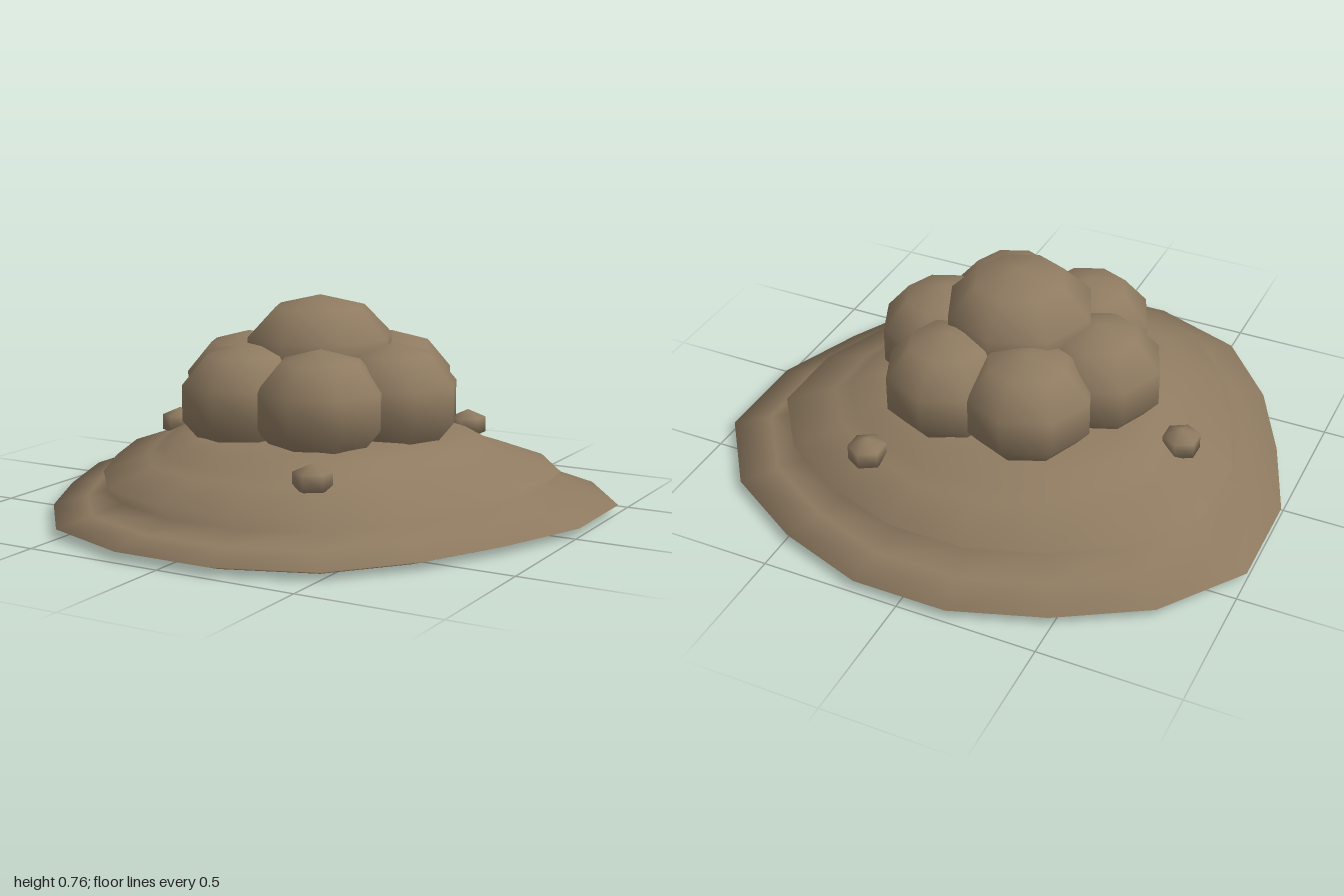
import * as THREE from 'three';

// Rounded-triangle plan outline, right half from back to front, then mirrored
const half = [[0.17, -0.98], [0.49, -0.87], [0.79, -0.69], [1.0, -0.4], [1.0, -0.03],
  [0.88, 0.29], [0.73, 0.59], [0.51, 0.855], [0.177, 0.98]];
const outline = [...half, ...half.slice().reverse().map(([x, z]) => [-x, z])];

// Smooth skin over scaled copies of the outline; each row is [scale, height]
function loft(rows) {
  const n = outline.length, pos = [], idx = [];
  for (const [s, y] of rows) for (const [x, z] of outline) pos.push(x * s, y, z * s);
  for (let i = 0; i < rows.length - 1; i++) {
    for (let j = 0; j < n; j++) {
      const a = i * n + j, b = i * n + (j + 1) % n, c = a + n, d = b + n;
      idx.push(a, c, b, b, c, d);
    }
  }
  const g = new THREE.BufferGeometry();
  g.setAttribute('position', new THREE.Float32BufferAttribute(pos, 3));
  g.setIndex(idx);
  g.computeVertexNormals();
  return g;
}

export function createModel() {
  const group = new THREE.Group();
  const earth = new THREE.MeshStandardMaterial({ color: 0x8f7b61 });
  earth.name = 'earthBrown';

  const add = (name, geometry, x = 0, y = 0, z = 0) => {
    const mesh = new THREE.Mesh(geometry, earth);
    mesh.name = name;
    mesh.position.set(x, y, z);
    group.add(mesh);
    return mesh;
  };

  // Flat underside and two-tier mound with a grooved step
  add('underside', loft([[0, 0], [0.91, 0]]));
  add('mound', loft([[0.91, 0], [1, 0.03], [0.87, 0.06], [0.755, 0.088], [0.81, 0.145],
    [0.64, 0.203], [0.59, 0.225], [0.53, 0.26], [0.45, 0.282], [0.25, 0.295], [0, 0.3]]));

  // Ring of six squashed boulders with a larger one on top
  const boulder = new THREE.SphereGeometry(0.24, 8, 5).scale(1, 0.85, 1);
  for (let i = 0; i < 6; i++) {
    const a = i * Math.PI / 3;
    add('boulder', boulder, Math.cos(a) * 0.3, 0.402, -0.03 + Math.sin(a) * 0.3);
  }
  add('topBoulder', new THREE.SphereGeometry(0.28, 8, 5).scale(1, 0.75, 1), 0, 0.546, -0.03);

  // Small pebbles scattered on the slope
  const pebble = new THREE.SphereGeometry(0.077, 6, 3).scale(1, 0.74, 1).rotateY(Math.PI / 2);
  for (const [x, z] of [[0.335, -0.565], [-0.63, -0.06], [0.29, 0.525]]) {
    add('pebble', pebble, x, 0.226, z);
  }
  return group;
}
